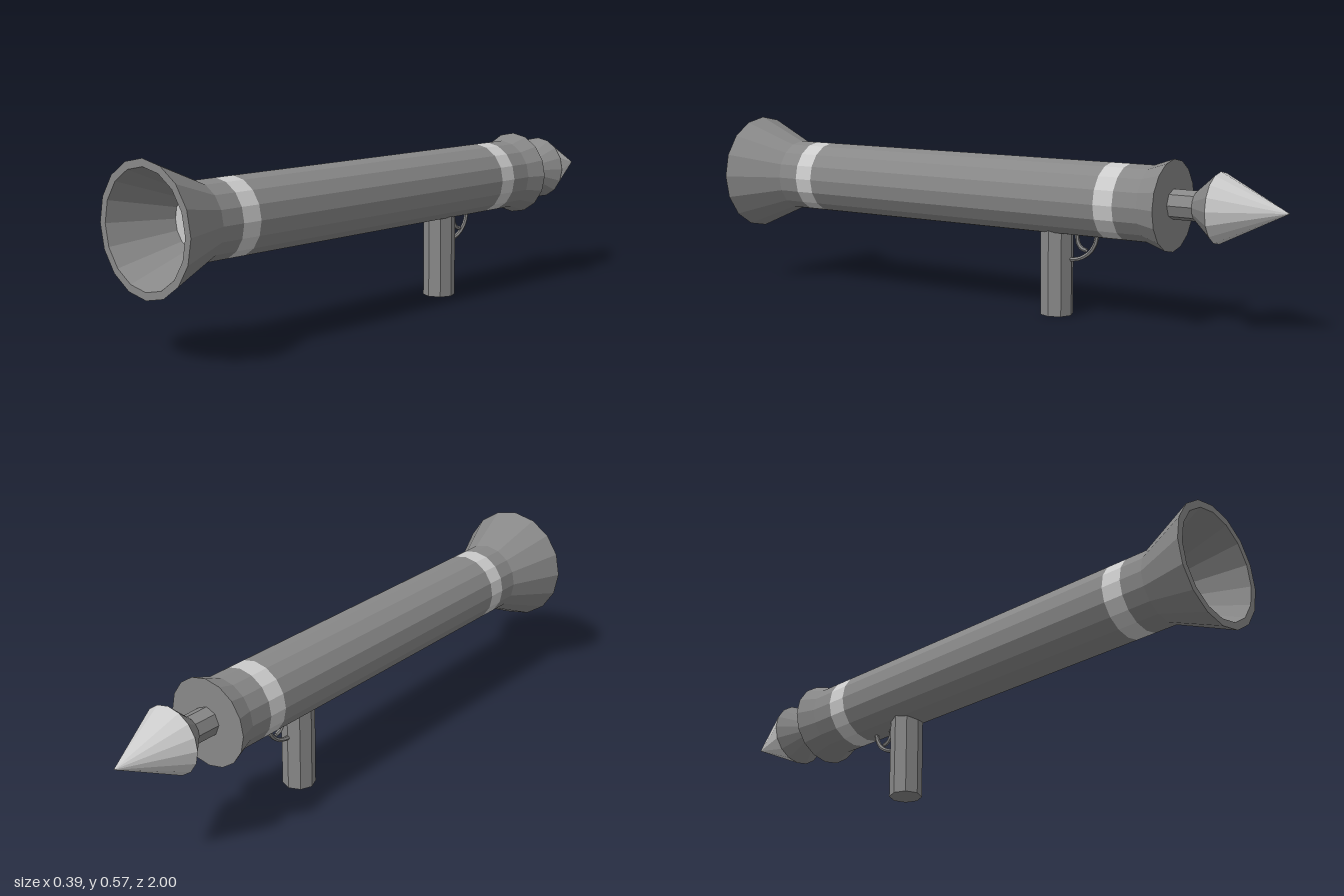
import * as THREE from 'three';

const AXIS_Y = 0.375;
const dark = new THREE.MeshStandardMaterial({ color: 0x888888, flatShading: true });
const light = new THREE.MeshStandardMaterial({ color: 0xcccccc, flatShading: true });

// Turned part along z; profile points are [radius, z], outside listed with z rising
function turned(name, profile, material, sides = 16) {
  const geometry = new THREE.LatheGeometry(profile.map(([r, z]) => new THREE.Vector2(r, z)), sides);
  geometry.rotateX(Math.PI / 2);
  const mesh = new THREE.Mesh(geometry, material);
  mesh.name = name;
  return mesh;
}

// Thin bent rod in the x = 0 plane; points are [y, z]
function rod(name, points, radius) {
  const curve = new THREE.CatmullRomCurve3(points.map(([y, z]) => new THREE.Vector3(0, y, z)));
  const mesh = new THREE.Mesh(new THREE.TubeGeometry(curve, 10, radius, 6), dark);
  mesh.material.side = THREE.DoubleSide;
  mesh.name = name;
  return mesh;
}

export function createModel() {
  const model = new THREE.Group();
  model.name = 'launcher';
  const R = 0.118;

  // Barrel, split around the two light bands
  const barrel = new THREE.Group();
  barrel.name = 'barrel';
  barrel.position.y = AXIS_Y;
  barrel.add(
    turned('muzzle', [[0, -0.635], [0.14, -0.635], [R, -0.57], [R, -0.49]], dark),
    turned('muzzleBand', [[R, -0.49], [R, -0.425]], light),
    turned('tube', [[R, -0.425], [R, 0.68]], dark),
    turned('exhaustBand', [[R, 0.68], [R, 0.745]], light),
    // Hollow exhaust bell: outside, rim, then back down the inside
    turned('exhaustBell', [[R, 0.745], [R, 0.82], [0.195, 1], [0.172, 1], [0.088, 0.82]], dark),
    turned('exhaustPlate', [[0.088, 0.82], [0, 0.82]], light),
  );
  model.add(barrel);

  // Rocket projecting from the muzzle
  const rocket = new THREE.Group();
  rocket.name = 'rocket';
  rocket.position.y = 0.38;
  rocket.add(
    turned('warheadTip', [[0, -1], [0.107, -0.785]], light),
    turned('warheadBase', [[0.107, -0.785], [0.046, -0.715], [0, -0.715]], dark),
    turned('rocketShaft', [[0.046, -0.72], [0.046, -0.63]], dark, 8),
  );
  model.add(rocket);

  // Octagonal grip
  const grip = new THREE.Mesh(new THREE.CylinderGeometry(0.053, 0.053, 0.28, 8), dark);
  grip.name = 'grip';
  grip.position.set(0, 0.14, -0.233);
  model.add(grip);

  // Trigger guard and trigger
  const guard = [];
  for (let i = 0; i <= 6; i++) {
    const a = (i / 6) * Math.PI / 2;
    guard.push([0.265 - 0.086 * Math.cos(a), -0.28 - 0.096 * Math.sin(a)]);
  }
  model.add(
    rod('triggerGuard', guard, 0.007),
    rod('trigger', [[0.265, -0.306], [0.235, -0.309], [0.218, -0.322], [0.212, -0.34]], 0.007),
  );
  return model;
}
